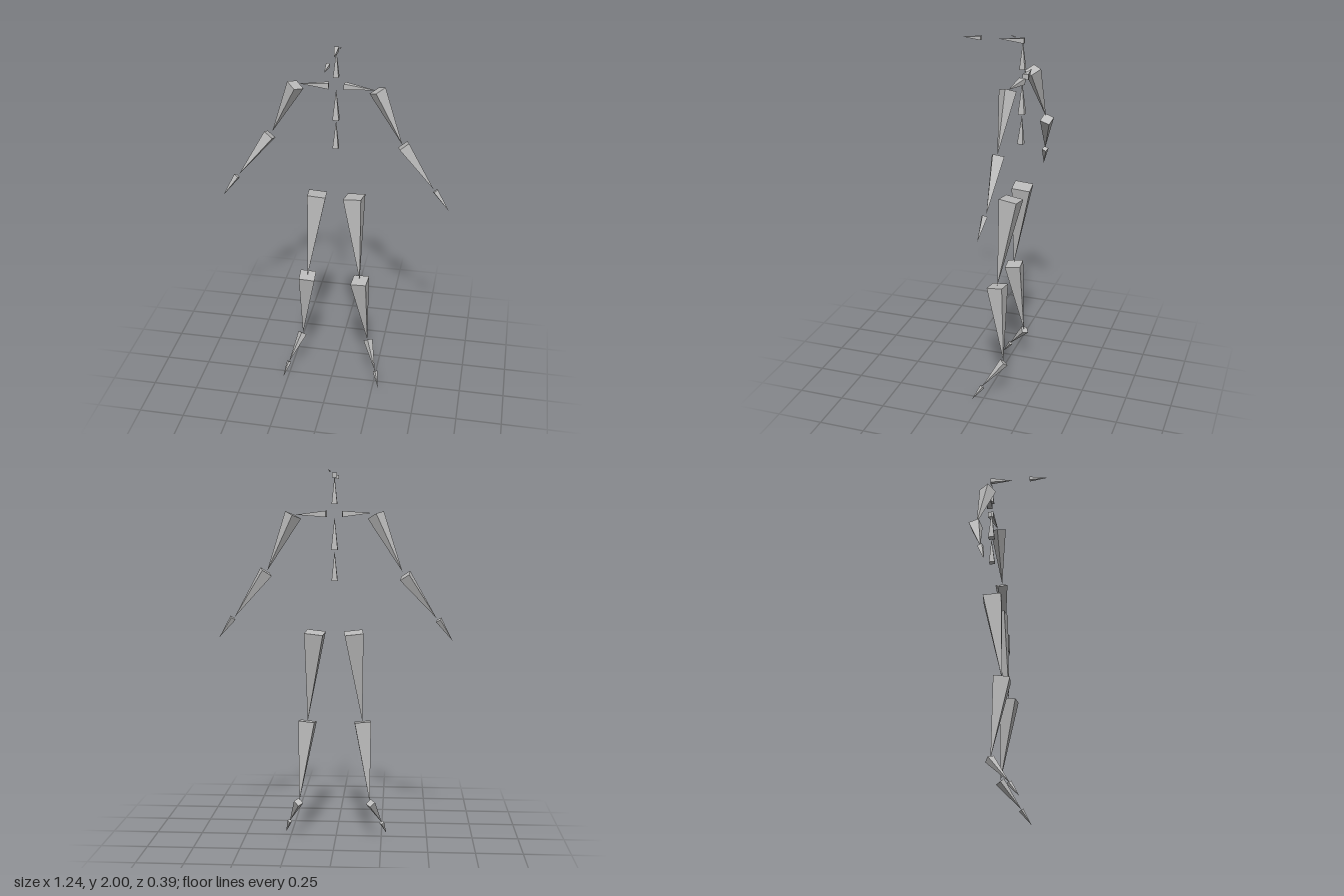
import * as THREE from 'three';

export function createModel() {
  const model = new THREE.Group();
  model.name = 'skeletonRig';
  const boneGrey = new THREE.MeshStandardMaterial({ color: 0xbcbcbc, flatShading: true });
  boneGrey.name = 'boneGrey';
  const forward = new THREE.Vector3(0, 0, 1);
  const up = new THREE.Vector3(0, 1, 0);

  // Four-sided spike: square base at one joint, point at the next
  function bone(name, base, tip, rollDegrees = 0, reference = forward) {
    const a = new THREE.Vector3(...base);
    const d = new THREE.Vector3(...tip).sub(a);
    const length = d.length();
    d.normalize();
    const w = reference.clone().addScaledVector(d, -reference.dot(d)).normalize();
    w.applyAxisAngle(d, THREE.MathUtils.degToRad(rollDegrees));
    const u = d.clone().cross(w);
    const width = 0.2 * length;
    const geometry = new THREE.ConeGeometry(width / Math.SQRT2, length, 4, 1, false, Math.PI / 4);
    geometry.translate(0, length / 2, 0);
    geometry.applyMatrix4(new THREE.Matrix4().makeBasis(u, d, w).setPosition(a));
    geometry.computeVertexNormals();
    const mesh = new THREE.Mesh(geometry, boneGrey);
    mesh.name = name;
    model.add(mesh);
  }

  // Spine, neck and head
  bone('lowerSpine', [0, 1.425, -0.125], [0, 1.58, -0.13]);
  bone('upperSpine', [0, 1.585, -0.13], [0, 1.755, -0.13]);
  bone('neck', [0, 1.82, -0.132], [0, 1.965, -0.132]);
  bone('head', [0, 1.967, -0.14], [0.012, 1.97, -0.01], 0, up);
  bone('face', [0, 1.965, 0.09], [0, 1.965, 0.193], 0, up);
  bone('headTip', [0.025, 1.988, -0.1], [0.037, 2, -0.075], 0, up);

  // Legs, mirrored about a line just beside the spine
  for (const [side, s] of [['left', 1], ['right', -1]]) {
    const at = (x, y, z) => [0.003 + s * x, y, z];
    bone(side + 'Thigh', at(0.102, 1.15, -0.107), at(0.148, 0.66, -0.046), s * 5);
    bone(side + 'Shin', at(0.149, 0.658, -0.047), at(0.191, 0.225, -0.096), s * 5);
    bone(side + 'Foot', at(0.195, 0.22, -0.1), at(0.255, 0.08, 0.008), s * 30);
    bone(side + 'Toe', at(0.255, 0.08, 0.005), at(0.281, 0.003, 0.058), s * 30);
  }

  // Left arm
  bone('leftCollar', [0.042, 1.77, -0.143], [0.205, 1.766, -0.122]);
  bone('leftUpperArm', [0.216, 1.765, -0.122], [0.355, 1.475, -0.115], -45);
  bone('leftForearm', [0.36, 1.47, -0.12], [0.53, 1.23, -0.117], -20);
  bone('leftHand', [0.54, 1.225, -0.112], [0.616, 1.12, -0.1], -25);

  // Right arm, with the elbow further back
  bone('rightCollar', [-0.04, 1.77, -0.135], [-0.195, 1.775, -0.122]);
  bone('rightUpperArm', [-0.213, 1.765, -0.122], [-0.353, 1.475, -0.16], 38);
  bone('rightForearm', [-0.367, 1.455, -0.162], [-0.533, 1.23, -0.108], 15);
  bone('rightHand', [-0.545, 1.22, -0.105], [-0.62, 1.108, -0.077], 20);

  return model;
}
